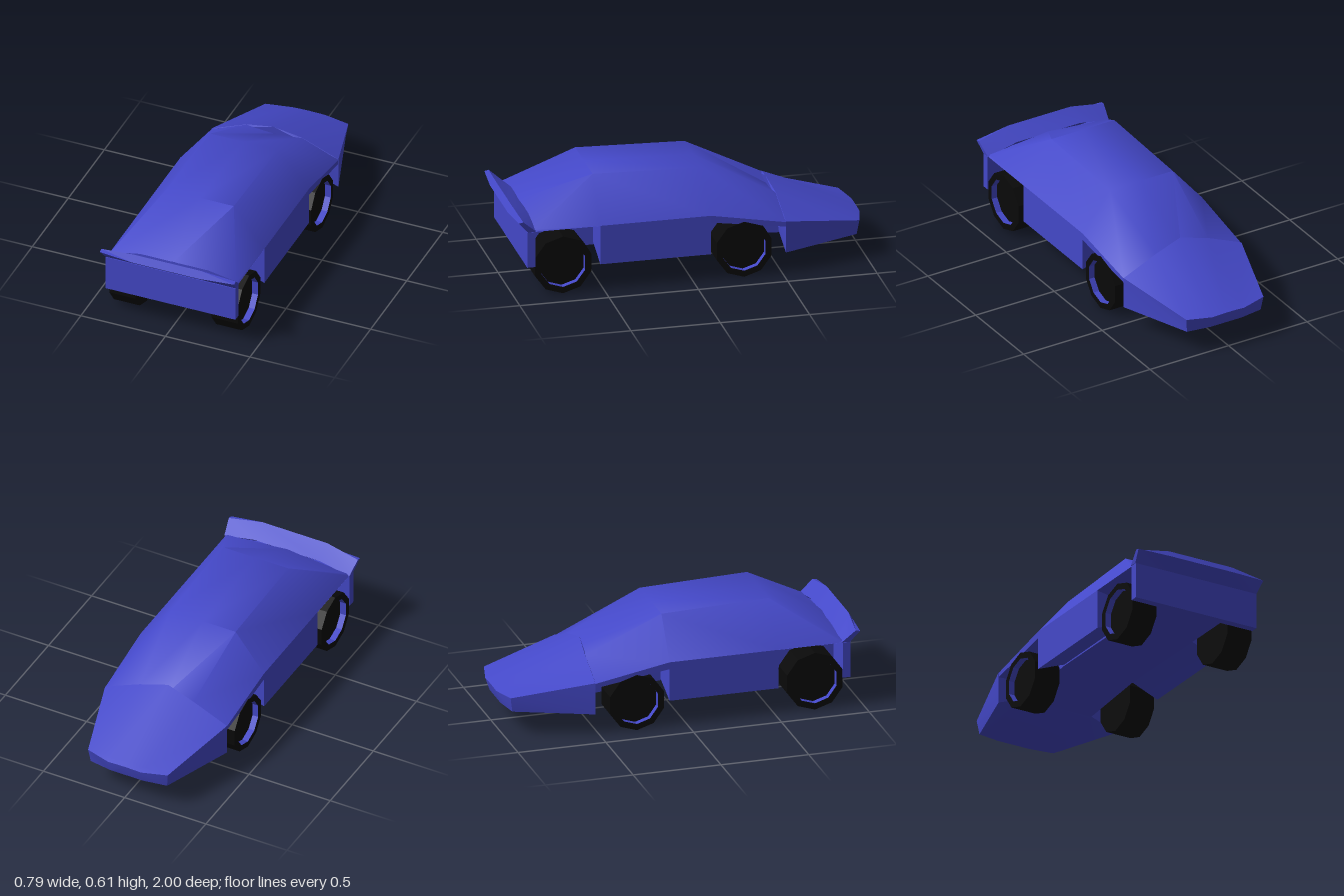
import * as THREE from 'three';
import { toCreasedNormals } from 'three/addons/utils/BufferGeometryUtils.js';

const CREASE = 0.55;

// Skin closed rings of [x, y, z] points into a capped solid.
function loft(rings, crease = CREASE) {
  const n = rings[0].length;
  const index = [];
  for (let s = 0; s < rings.length - 1; s++) {
    for (let i = 0; i < n; i++) {
      const j = (i + 1) % n;
      const a = s * n + i, b = s * n + j;
      index.push(a, b, b + n, a, b + n, a + n);
    }
  }
  const end = (rings.length - 1) * n;
  for (let i = 1; i < n - 1; i++) {
    index.push(0, i + 1, i);
    index.push(end, end + i, end + i + 1);
  }
  const geometry = new THREE.BufferGeometry();
  geometry.setAttribute('position', new THREE.Float32BufferAttribute(rings.flat(2), 3));
  geometry.setIndex(index);
  return toCreasedNormals(geometry, crease);
}

// Complete a half section (bottom to top centre) with its mirror image,
// starting the ring at the top centre.
function mirrored(half) {
  const sides = half.slice(0, -1);
  const other = [...sides].reverse().map(([x, y, z]) => [-x, y, z]);
  return [half[half.length - 1], ...other, ...sides];
}

export function createModel() {
  const car = new THREE.Group();
  car.name = 'wedgeCar';

  const paint = new THREE.MeshStandardMaterial({ color: 0x4448c8 });
  paint.name = 'bluePaint';
  const rubber = new THREE.MeshStandardMaterial({ color: 0x090909 });
  rubber.name = 'blackRubber';

  const add = (name, geometry, material, parent = car) => {
    const mesh = new THREE.Mesh(geometry, material);
    mesh.name = name;
    parent.add(mesh);
    return mesh;
  };
  const body = (name, halves, crease) => add(name, loft(halves.map(mirrored), crease), paint);

  // Blunt wedge nose, rising to a raised lip before the windscreen
  body('noseAndHood', [
    [[0.08, 0.135, -0.975], [0.1, 0.135, -0.975], [0.1, 0.208, -1], [0.06, 0.21, -1], [0, 0.211, -1]],
    [[0.2, 0.132, -0.95], [0.235, 0.132, -0.95], [0.245, 0.215, -0.963], [0.11, 0.223, -0.965], [0, 0.227, -0.965]],
    [[0.22, 0.175, -0.52], [0.375, 0.118, -0.52], [0.375, 0.3, -0.52], [0.165, 0.388, -0.515], [0, 0.43, -0.495]],
  ]);

  // Windscreen, roof, side windows and sloping tail in one shell
  body('cabin', [
    [[0.374, 0.296, -0.52], [0.165, 0.386, -0.515], [0, 0.38, -0.505]],
    [[0.38, 0.375, -0.1], [0.2, 0.59, -0.09], [0, 0.59, -0.09]],
    [[0.38, 0.375, 0.52], [0.2, 0.61, 0.52], [0, 0.61, 0.52]],
    [[0.38, 0.375, 0.885], [0.37, 0.385, 0.885], [0, 0.42, 0.885]],
  ], 0.95);

  // Fenders over the wheels
  body('frontFenders', [
    [[0.374, 0.27, -0.52], [0.374, 0.296, -0.52], [0, 0.296, -0.52]],
    [[0.38, 0.335, -0.1], [0.38, 0.375, -0.1], [0, 0.375, -0.1]],
  ]);
  body('rearWheelArches', [0.52, 0.885].map((z) => [[0.215, 0.348, z], [0.38, 0.374, z], [0, 0.376, z]]));

  // Lower body: sills with sloping undersides, narrow chassis, tail panel
  body('sills', [-0.1, 0.52].map((z) => [[0.22, 0.215, z], [0.38, 0.15, z], [0.38, 0.375, z], [0, 0.375, z]]));
  body('chassis', [[-0.52, 0.175, 0.29], [-0.1, 0.208, 0.36], [0.9, 0.2, 0.36]].map(
    ([z, floor, top]) => [[0.215, floor, z], [0.215, top, z], [0, top, z]]));
  const tail = add('tailPanel', new THREE.BoxGeometry(0.768, 0.205, 0.045), paint);
  tail.position.set(0, 0.2725, 0.9075);

  // Tail spoiler, swept forward and down at its tips
  const tip = (x) => [[x * 0.97, 0.378, 0.88], [x, 0.443, 0.955], [x, 0.438, 0.98], [x * 0.97, 0.375, 0.925]];
  const middle = (x) => [[x, 0.415, 0.88], [x, 0.472, 0.975], [x, 0.433, 0.997], [x, 0.375, 0.925]];
  add('spoiler', loft([tip(-0.397), middle(-0.2), middle(0.2), tip(0.397)]), paint);

  // Ten-sided wheels with a recessed hub and painted rim
  const turned = (points) => toCreasedNormals(new THREE.LatheGeometry(
    points.map(([r, h]) => new THREE.Vector2(r, h)), 10, Math.PI / 2), CREASE);
  const half = 0.077;
  const tyre = turned([[0, -half], [1, -half], [1, half], [0.78, half]]);
  const rim = turned([[0.78, half], [0.78, half - 0.035]]);
  const hub = turned([[0.78, half - 0.035], [0, half - 0.035]]);
  for (const [end, z, radius] of [['front', -0.285, 0.161], ['rear', 0.728, 0.166]]) {
    for (const [side, sign] of [['Left', 1], ['Right', -1]]) {
      const wheel = new THREE.Group();
      wheel.name = `${end}${side}Wheel`;
      add('tyre', tyre, rubber, wheel);
      add('rim', rim, paint, wheel);
      add('hub', hub, rubber, wheel);
      wheel.scale.set(radius, 1, radius);
      wheel.rotation.z = -sign * Math.PI / 2;
      wheel.position.set(sign * 0.302, radius, z);
      car.add(wheel);
    }
  }
  return car;
}
